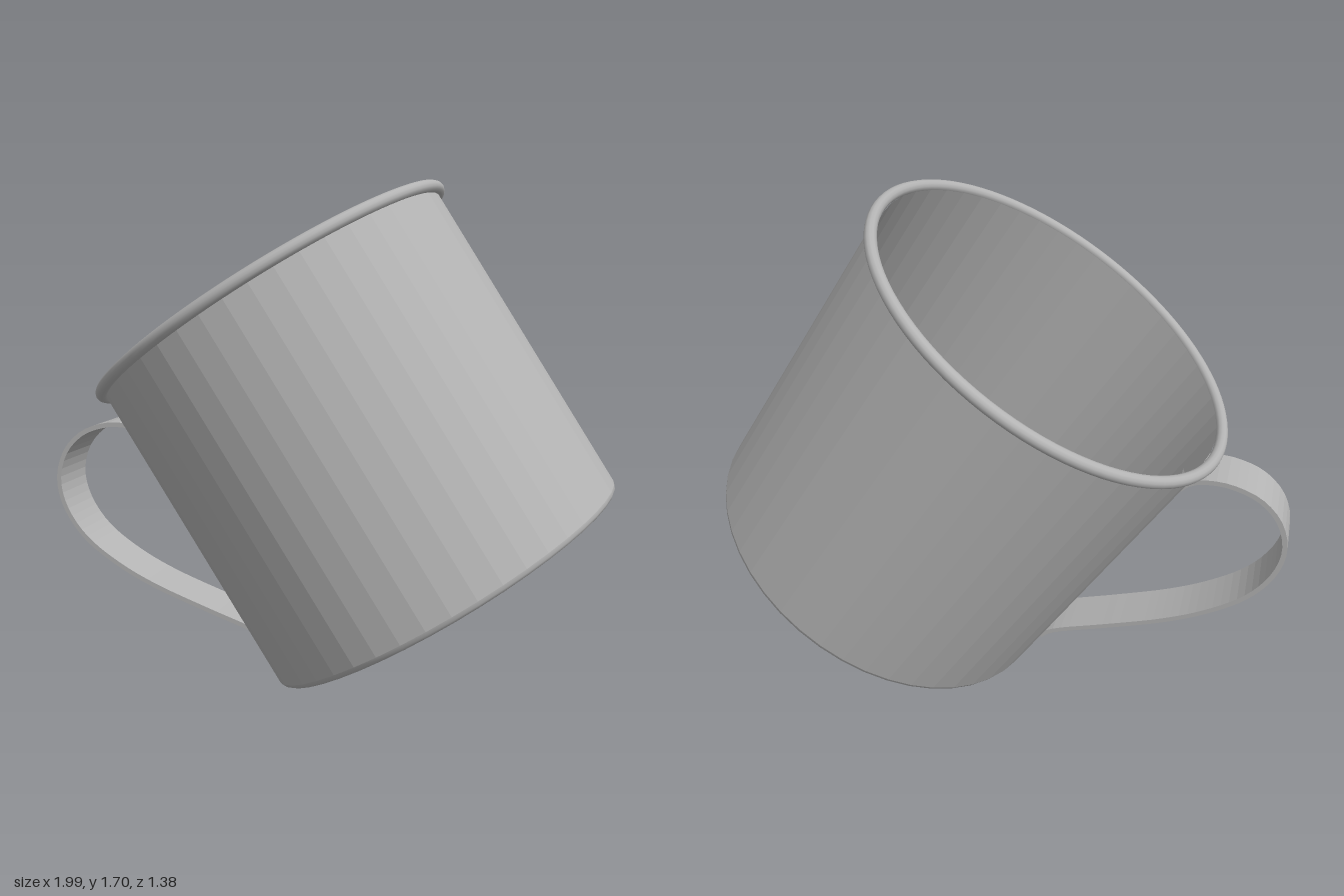
import * as THREE from 'three';

const SEGMENTS = 48;
const metal = new THREE.MeshStandardMaterial({ color: 0xb4b4b4 });
metal.name = 'grey metal';

const vec = ([x, y]) => new THREE.Vector2(x, y);

// Surface of revolution; faceted gives each strip its own flat normal
function turned(name, profile, faceted = false) {
  let geometry = new THREE.LatheGeometry(profile.map(vec), SEGMENTS);
  if (faceted) {
    geometry = geometry.toNonIndexed();
    geometry.computeVertexNormals();
  }
  const mesh = new THREE.Mesh(geometry, metal);
  mesh.name = name;
  return mesh;
}

// Thin band following a curve in the xy plane, centred on z = 0
function strap(name, path, width, thickness) {
  const curve = new THREE.SplineCurve(path.map(vec));
  const outer = [], inner = [];
  const steps = 48;
  for (let i = 0; i <= steps; i++) {
    const p = curve.getPointAt(i / steps);
    const t = curve.getTangentAt(i / steps);
    const n = new THREE.Vector2(-t.y, t.x).multiplyScalar(thickness / 2);
    outer.push(p.clone().add(n));
    inner.push(p.clone().sub(n));
  }
  const shape = new THREE.Shape([...outer, ...inner.reverse()]);
  const geometry = new THREE.ExtrudeGeometry(shape, { depth: width, bevelEnabled: false });
  geometry.translate(0, 0, -width / 2);
  const mesh = new THREE.Mesh(geometry, metal);
  mesh.name = name;
  return mesh;
}

export function createModel() {
  const model = new THREE.Group();
  model.name = 'mug';

  // Cup, modelled upright around its own base centre, then tipped
  const cup = new THREE.Group();
  cup.name = 'cup';

  // Underside with a shallow dished recess and rounded outer edge
  cup.add(turned('underside', [
    [0, 0.035], [0.32, 0.035], [0.35, 0.033], [0.39, 0.024], [0.44, 0.009],
    [0.48, 0.002], [0.52, 0], [0.635, 0], [0.648, 0.003], [0.657, 0.011], [0.66, 0.022],
  ]));
  cup.add(turned('outerWall', [[0.66, 0.022], [0.66, 1.15]], true));
  cup.add(turned('innerWall', [[0.648, 1.15], [0.648, 0.035]], true));

  // Inside floor, raised where the underside is recessed
  cup.add(turned('insideFloor', [
    [0.648, 0.035], [0.642, 0.022], [0.625, 0.014], [0.52, 0.014], [0.48, 0.017],
    [0.44, 0.024], [0.39, 0.038], [0.35, 0.047], [0.32, 0.049], [0, 0.049],
  ]));

  // Rolled rim
  const rim = new THREE.Mesh(new THREE.TorusGeometry(0.669, 0.02, 12, SEGMENTS * 2), metal);
  rim.name = 'rim';
  rim.rotation.x = Math.PI / 2;
  rim.position.y = 1.152;
  cup.add(rim);

  cup.position.set(0.45, 0.36, 0);
  cup.rotation.z = THREE.MathUtils.degToRad(33);
  model.add(cup);

  // Strap handle
  const handle = strap('handle', [
    [-0.628, 0.82], [-0.66, 0.848], [-0.72, 0.862], [-0.80, 0.856], [-0.89, 0.82],
    [-0.96, 0.745], [-0.988, 0.64], [-0.96, 0.53], [-0.88, 0.425], [-0.75, 0.336],
    [-0.60, 0.266], [-0.40, 0.197], [-0.25, 0.149], [-0.19, 0.122], [-0.166, 0.1],
  ], 0.18, 0.017);
  model.add(handle);

  return model;
}
